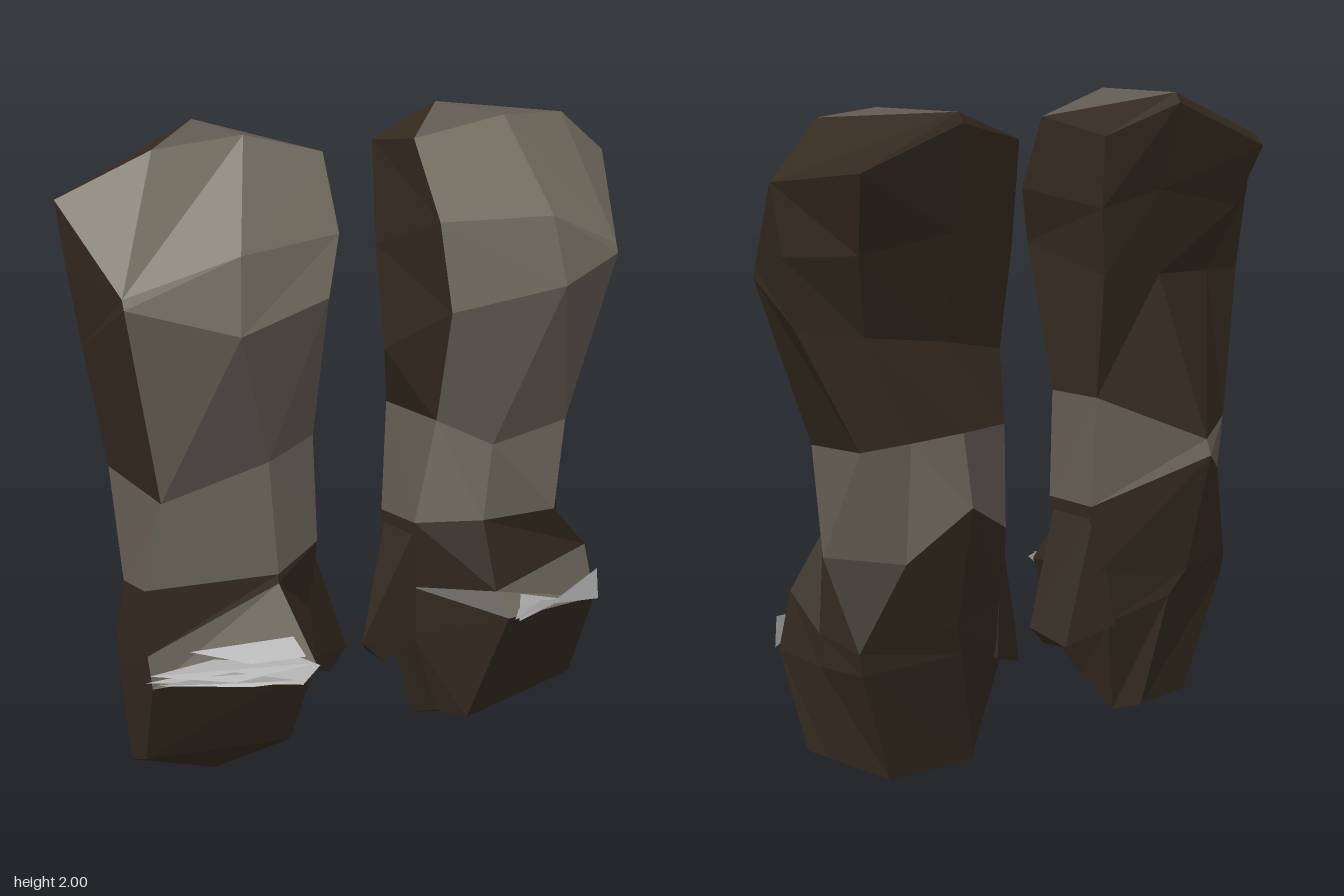
import * as THREE from 'three';
import { ConvexGeometry } from 'three/addons/geometries/ConvexGeometry.js';

const mat = (name, color, side = THREE.FrontSide) => {
  const m = new THREE.MeshStandardMaterial({ color, side });
  m.name = name;
  return m;
};

// Seven-point rings: inner front, mid front, outer front, outer side, outer back, inner back, inner side
const armRings = {
  shoulder: [[.17, 1.93, .05], [.46, 1.99, .11], [.71, 1.98, .07], [.97, 1.83, -.05], [.82, 1.86, -.26], [.44, 1.97, -.25], [.18, 1.9, -.2]],
  bulge: [[.18, 1.69, .18], [.55, 1.69, .255], [.88, 1.56, .15], [.945, 1.62, -.065], [.77, 1.62, -.185], [.42, 1.65, -.185], [.16, 1.58, -.145]],
  elbow: [[.22, 1.41, .19], [.59, 1.47, .275], [.88, 1.53, .16], [.92, 1.42, -.08], [.7, 1.37, -.12], [.4, 1.32, -.12], [.15, 1.26, -.08]],
  cuff: [[.24, 1.05, .08], [.37, .98, .2], [.69, 1.01, .15], [.78, 1.06, -.19], [.6, 1.06, -.2], [.4, 1.06, -.2], [.23, 1.06, -.19]],
};
const handRings = {
  wrist: [[.18, .72, .05], [.36, .73, .17], [.63, .73, .18], [.81, .73, -.05], [.68, .73, -.27], [.47, .87, -.32], [.18, .72, -.14]],
  knuckleTop: [[.19, .5, .02], [.37, .51, .23], [.78, .58, .15], [.82, .5, -.04], [.8, .47, -.2], [.47, .5, -.25], [.2, .5, -.15]],
  knuckleLow: [[.2, .33, .02], [.37, .44, .3], [.81, .4, .17], [.82, .4, -.04], [.79, .4, -.2], [.44, .4, -.23], [.2, .35, -.15]],
  fist: [[.27, .08, .05], [.31, .08, .16], [.8, .11, .05], [.79, .11, -.03], [.66, .04, -.16], [.34, .03, -.17], [.28, .02, -.1]],
};

// Points that differ on the right arm, before mirroring
const rightChanges = {
  shoulder: { 0: [.18, 1.92, .09], 2: [.73, 1.96, .06], 3: [.97, 1.82, -.08], 4: [.82, 1.81, -.25], 6: [.19, 1.88, -.18] },
  bulge: { 1: [.56, 1.67, .265], 5: [.42, 1.7, -.19], 6: [.19, 1.66, -.17] },
  elbow: { 0: [.24, 1.51, .22], 1: [.57, 1.44, .28], 3: [.9, 1.39, -.07], 4: [.7, 1.41, -.13], 5: [.45, 1.43, -.16], 6: [.21, 1.45, -.16] },
  cuff: { 0: [.2, 1.06, .06], 1: [.42, 1.03, .17], 2: [.77, .95, .15], 3: [.82, 1.02, -.08], 4: [.69, .95, -.22], 5: [.53, .91, -.3], 6: [.22, 1.06, -.12] },
  wrist: { 1: [.39, .68, .17], 2: [.82, .69, .13], 3: [.82, .69, 0], 4: [.7, .77, -.19], 5: [.53, .86, -.32] },
  knuckleTop: { 1: [.395, .655, .18], 2: [.83, .5, .16], 4: [.77, .46, -.16], 5: [.5, .48, -.25] },
  knuckleLow: { 0: [.25, .33, .02], 1: [.34, .43, .3], 2: [.82, .4, .17], 4: [.77, .4, -.15], 6: [.25, .33, -.15] },
  fist: { 0: [.33, .09, .05], 1: [.34, .14, .15], 2: [.79, .14, .06], 4: [.6, .03, -.15], 5: [.38, .03, -.17], 6: [.32, .01, -.1] },
};

// Flat blades on the knuckles, each a long quad
const leftBlades = [
  [[.4, .43, .315], [.59, .45, .27], [.59, .46, .27], [.42, .51, .29]],
  [[.56, .45, .28], [.81, .4, .19], [.81, .5, .18], [.56, .46, .28]],
  [[.38, .44, .32], [.6, .455, .27], [.5, .475, .29], [.4, .47, .31]],
];
const rightBlades = [
  [[.34, .43, .325], [.4, .38, .325], [.85, .43, .185], [.42, .47, .29]],
  [[.38, .46, .31], [.55, .46, .28], [.72, .51, .215], [.4, .515, .27]],
  [[.36, .44, .325], [.6, .41, .275], [.84, .45, .19], [.65, .48, .235]],
  [[.4, .39, .32], [.55, .39, .285], [.82, .42, .2], [.6, .44, .265]],
];

const thumbPoints = [[.2, .72, .04], [.2, .72, -.14], [.03, .33, -.02], [.1, .26, -.01], [.1, .27, -.11], [.25, .33, .04], [.25, .33, -.18]];

function createArm(name, side, changes, blades, mats) {
  const arm = new THREE.Group();
  arm.name = name;
  const rings = {};
  for (const [key, ring] of Object.entries({ ...armRings, ...handRings }))
    rings[key] = ring.map((p, i) => (changes[key] && changes[key][i]) || p);

  const flip = ([x, y, z]) => [x * side, y, z];
  const tri = (out, a, b, c) => out.push(...flip(a), ...(side > 0 ? [...flip(b), ...flip(c)] : [...flip(c), ...flip(b)]));
  const addMesh = (label, pos, material) => {
    const g = new THREE.BufferGeometry();
    g.setAttribute('position', new THREE.Float32BufferAttribute(pos, 3));
    g.computeVertexNormals();
    const m = new THREE.Mesh(g, material);
    m.name = label;
    arm.add(m);
  };
  // Faceted wall between two rings, only for the listed segments; crossed picks the other diagonal
  const wall = (out, top, low, segments, crossed = false) => {
    for (const i of segments) {
      const j = (i + 1) % 7;
      const [a, b, c, d] = [rings[top][i], rings[top][j], rings[low][j], rings[low][i]];
      tri(out, a, d, crossed ? b : c);
      tri(out, crossed ? d : a, c, b);
    }
  };
  const cap = (out, ring, centre, segments, up) => {
    for (const i of segments) {
      const a = rings[ring][i], b = rings[ring][(i + 1) % 7];
      up ? tri(out, centre, a, b) : tri(out, centre, b, a);
    }
  };
  const all = [0, 1, 2, 3, 4, 5, 6];

  // Upper arm: pale plate in front, grey top, dark cloth behind
  const plate = [], cloth = [], top = [], crown = [.44, 2, -.23];
  const { shoulder, bulge } = rings;
  wall(plate, 'shoulder', 'bulge', [0, 1]);
  wall(plate, 'bulge', 'elbow', [0, 1]);
  tri(plate, shoulder[2], bulge[2], shoulder[3]);
  tri(cloth, shoulder[3], bulge[2], bulge[3]);
  cap(top, 'shoulder', crown, [0, 1], true);
  wall(cloth, 'shoulder', 'bulge', [3, 4, 5, 6]);
  wall(cloth, 'bulge', 'elbow', [2, 3, 4, 5, 6]);
  cap(cloth, 'shoulder', crown, [2, 3, 4, 5, 6], true);
  wall(cloth, 'elbow', 'cuff', [2, 3, 4, 5, 6]);
  addMesh('upperArmPlate', plate, mats.plate);
  addMesh('shoulderTop', top, mats.forearm);
  addMesh('sleeve', cloth, mats.cloth);

  // Forearm plate and wrist band
  const forearm = [], wristFront = [], wristBack = [];
  wall(forearm, 'elbow', 'cuff', [0, 1]);
  wall(wristFront, 'cuff', 'wrist', [0, 1], side < 0);
  wall(wristBack, 'cuff', 'wrist', [2, 3, 4, 5, 6]);
  addMesh('forearmPlate', forearm, mats.forearm);
  addMesh('wristFront', wristFront, mats.wrist);
  addMesh('wristBack', wristBack, mats.forearm);

  // Gloved fist with a pale strip across the knuckles
  const glove = [], strip = [];
  wall(glove, 'wrist', 'knuckleTop', all);
  wall(glove, 'knuckleTop', 'knuckleLow', [0, 2, 3, 4, 5, 6]);
  wall(strip, 'knuckleTop', 'knuckleLow', [1]);
  wall(glove, 'knuckleLow', 'fist', all);
  cap(glove, 'fist', [.48, .0, -.08], all, false);
  addMesh('glove', glove, mats.cloth);
  addMesh('knuckleStrip', strip, mats.wrist);

  // Thumb
  const thumb = new THREE.Mesh(new ConvexGeometry(thumbPoints.map(p => new THREE.Vector3(...flip(p)))), mats.cloth);
  thumb.name = 'thumb';
  arm.add(thumb);

  // Knuckle blades
  const steel = [];
  for (const [a, b, c, d] of blades) {
    tri(steel, a, b, c);
    tri(steel, a, c, d);
  }
  addMesh('knuckleBlades', steel, mats.steel);
  return arm;
}

export function createModel() {
  const mats = {
    plate: mat('pale plate', 0x7a7466),
    forearm: mat('forearm grey', 0x625a52),
    wrist: mat('wrist grey', 0x716c61),
    cloth: mat('dark brown', 0x33291f),
    steel: mat('steel', 0xc2c2c2, THREE.DoubleSide),
  };
  const model = new THREE.Group();
  model.name = 'armoredArms';
  model.add(createArm('leftArm', 1, {}, leftBlades, mats));
  model.add(createArm('rightArm', -1, rightChanges, rightBlades, mats));
  return model;
}
